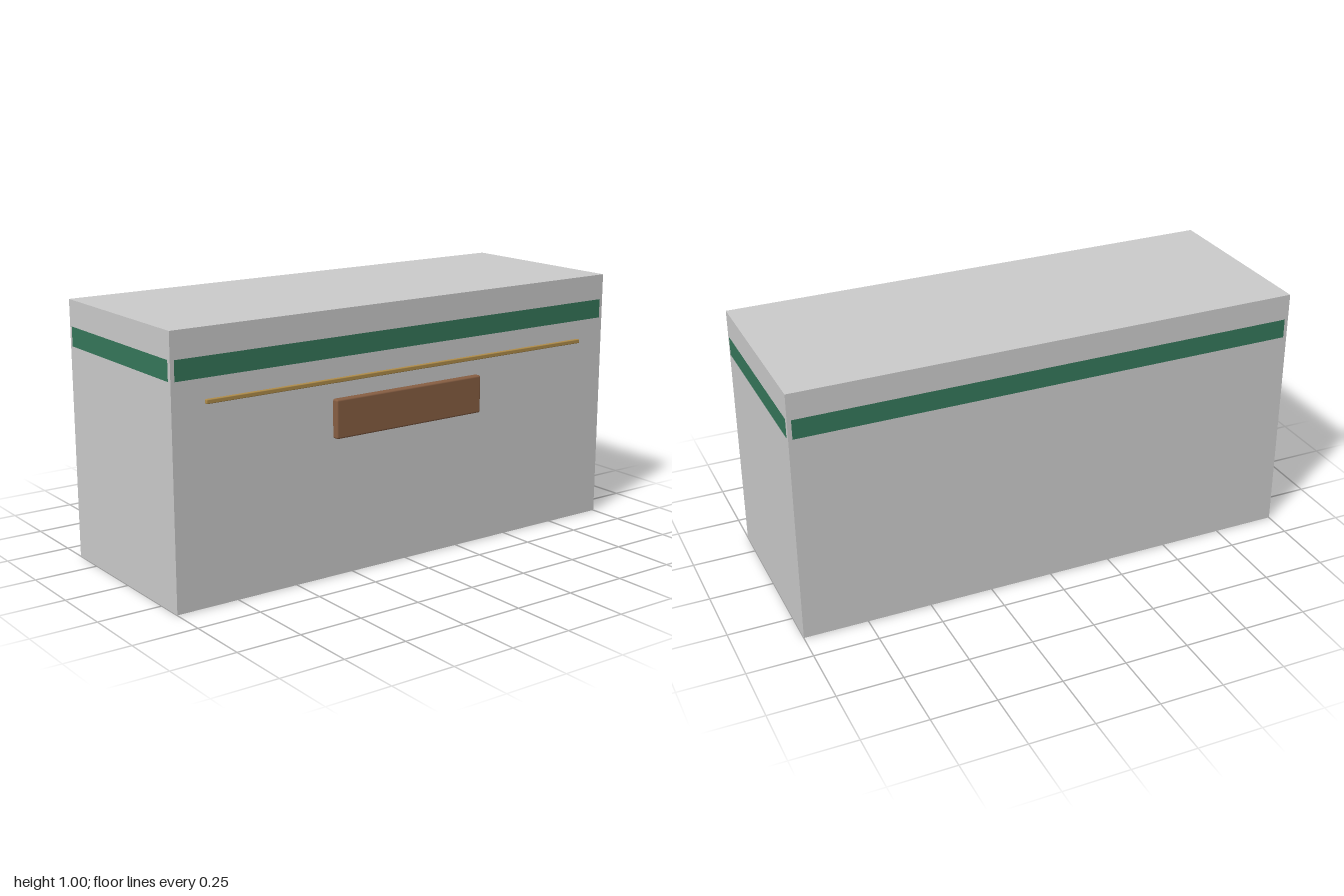
import * as THREE from 'three';
import { RoundedBoxGeometry } from 'three/addons/geometries/RoundedBoxGeometry.js';

const W = 2, H = 1, BACK = -0.385, FRONT = 0.36;
const D = FRONT - BACK, MID = (FRONT + BACK) / 2;

const material = (color) => new THREE.MeshStandardMaterial({ color });

export function createModel() {
  const group = new THREE.Group();
  const grey = material(0xcccccc);
  const brown = material(0x885f43);
  const gold = material(0xb08d4a);
  const green = material(0x35775a);

  function add(name, geometry, mat, x, y, z) {
    const mesh = new THREE.Mesh(geometry, mat);
    mesh.name = name;
    mesh.position.set(x, y, z);
    group.add(mesh);
    return mesh;
  }

  // Main block
  add('body', new THREE.BoxGeometry(W, H, D), grey, 0, H / 2, MID);

  // Sign board and slim rail on the front
  add('signBoard', new RoundedBoxGeometry(0.677, 0.147, 0.05, 2, 0.007), brown, 0, 0.601, FRONT);
  add('frontRail', new RoundedBoxGeometry(1.738, 0.016, 0.024, 2, 0.003), gold, 0, 0.742, FRONT);

  // Flush coloured band on all four sides
  const lift = 0.001, bandY = 0.862, bandH = 0.075, inset = 0.015;
  const long = new THREE.PlaneGeometry(W - 2 * inset, bandH);
  const short = new THREE.PlaneGeometry(D - 2 * inset, bandH);
  add('bandFront', long, green, 0, bandY, FRONT + lift);
  add('bandBack', long, green, 0, bandY, BACK - lift).rotation.y = Math.PI;
  for (const side of [1, -1]) {
    const name = side > 0 ? 'bandLeft' : 'bandRight';
    add(name, short, green, side * (W / 2 + lift), bandY, MID).rotation.y = side * Math.PI / 2;
  }

  // Flush base panel underneath
  add('basePanel', new THREE.PlaneGeometry(W - 0.14, D - 0.13), brown, 0, -lift, MID).rotation.x = Math.PI / 2;

  return group;
}
